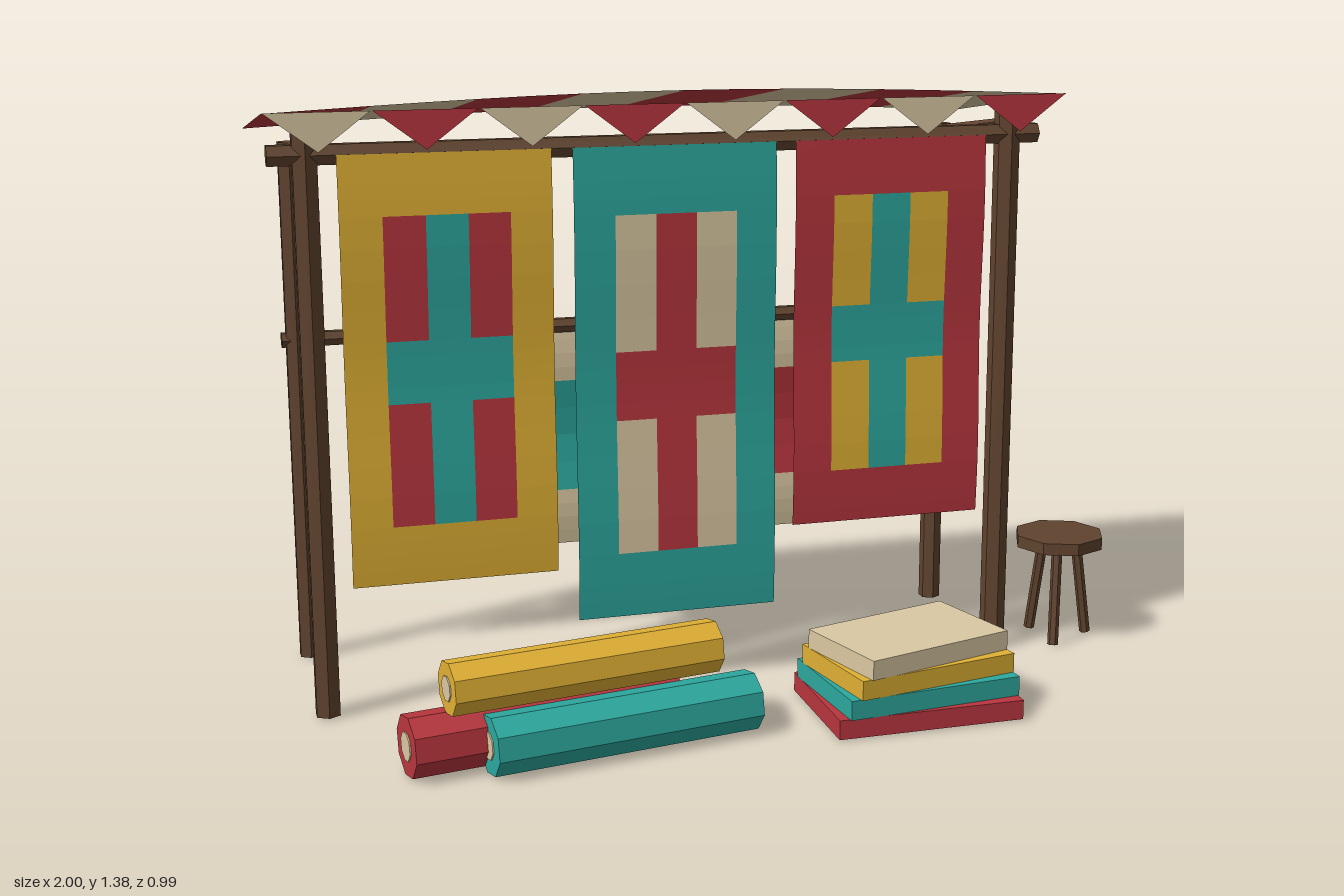
import * as THREE from 'three';
import { mergeGeometries } from 'three/addons/utils/BufferGeometryUtils.js';

const mat = (color, side = THREE.FrontSide) =>
  new THREE.MeshStandardMaterial({ color, side, flatShading: true });
const COLORS = { red: 0xb8363e, tan: 0xdac8a2, yellow: 0xe0b034, teal: 0x2ca89e, wood: 0x60432e };
const solid = {}, cloth = {};
for (const k in COLORS) {
  solid[k] = mat(COLORS[k]);
  cloth[k] = mat(COLORS[k], THREE.DoubleSide);
}

function add(parent, name, geometry, material) {
  const mesh = new THREE.Mesh(geometry, material);
  mesh.name = name;
  parent.add(mesh);
  return mesh;
}

function subgroup(parent, name) {
  const g = new THREE.Group();
  g.name = name;
  parent.add(g);
  return g;
}

// Faceted rod between two points
function rod(parent, name, a, b, radius, material = solid.wood, sides = 6, twist = 0) {
  const from = new THREE.Vector3(...a), to = new THREE.Vector3(...b);
  const dir = to.clone().sub(from);
  const geo = new THREE.CylinderGeometry(radius, radius, dir.length(), sides).rotateY(twist);
  const mesh = add(parent, name, geo, material);
  mesh.position.copy(from).add(to).multiplyScalar(0.5);
  mesh.quaternion.setFromUnitVectors(new THREE.Vector3(0, 1, 0), dir.normalize());
  return mesh;
}

// Hanging cloth cut into coloured cells along us / vs, with a gentle ripple down its length
function hanging(parent, name, { x0, x1, y0, y1, z, ripple, us, vs, colorAt }) {
  const g = subgroup(parent, name);
  const cells = {};
  const w = x1 - x0, h = y1 - y0;
  for (let i = 0; i < us.length - 1; i++) {
    for (let j = 0; j < vs.length - 1; j++) {
      const cw = (us[i + 1] - us[i]) * w, ch = (vs[j + 1] - vs[j]) * h;
      const geo = new THREE.PlaneGeometry(cw, ch, 1, 4);
      geo.translate(x0 + us[i] * w + cw / 2, y0 + vs[j] * h + ch / 2, 0);
      const p = geo.attributes.position;
      for (let k = 0; k < p.count; k++) {
        const t = (y1 - p.getY(k)) / h;
        p.setZ(k, z + ripple * Math.sin(t * Math.PI * 3));
      }
      geo.computeVertexNormals();
      (cells[colorAt(i, j)] ??= []).push(geo);
    }
  }
  for (const c in cells) add(g, `${name} ${c} cloth`, mergeGeometries(cells[c]), cloth[c]);
}

export function createModel() {
  const model = new THREE.Group();
  model.name = 'rugStall';

  // Timber frame
  const frame = subgroup(model, 'frame');
  const zF = 0.007, zB = -0.397;
  for (const x of [-0.906, 0.703]) {
    rod(frame, 'frontPost', [x, 0, zF], [x, 1.304, zF], 0.03);
    rod(frame, 'backPost', [x, 0, zB], [x, 1.24, zB], 0.027);
    rod(frame, 'sideBeam', [x, 1.271, zF], [x, 1.212, -0.429], 0.019);
  }
  rod(frame, 'frontBeam', [-0.985, 1.253, zF], [0.775, 1.253, zF], 0.025);
  rod(frame, 'backRail', [-0.94, 0.778, zB], [0.73, 0.778, zB], 0.019);

  // Striped awning: arched across x, sloping down to the back, with pennants along the front
  const awning = subgroup(model, 'awning');
  const n = 8, left = -1, stripe = 1.79 / n, zFront = 0.132, zRear = -0.488;
  for (let i = 0; i < n; i++) {
    const geo = new THREE.PlaneGeometry(stripe, zFront - zRear, 2, 1).rotateX(-Math.PI / 2);
    geo.translate(left + (i + 0.5) * stripe, 0, (zFront + zRear) / 2);
    const p = geo.attributes.position;
    for (let k = 0; k < p.count; k++) {
      const u = (p.getX(k) - left) / (stripe * n);
      const slope = (p.getZ(k) - zRear) / (zFront - zRear);
      p.setY(k, 1.264 + 0.088 * slope + 0.028 * Math.sin(Math.PI * u));
    }
    geo.computeVertexNormals();
    add(awning, 'awningStripe', geo, i % 2 ? cloth.tan : cloth.red);

    const tri = new THREE.Shape([
      new THREE.Vector2(-0.11, 0), new THREE.Vector2(0, -0.083), new THREE.Vector2(0.11, 0)]);
    const pennant = add(awning, 'pennant', new THREE.ShapeGeometry(tri), i % 2 ? cloth.red : cloth.tan);
    pennant.position.set(left + (i + 0.5) * stripe, 1.353, zFront + 0.002);
  }

  // Three display rugs on the front beam: border, inner field and cross
  const rugs = [
    ['leftRug', -0.842, -0.38, 0.297, 'yellow', 'red', 'teal'],
    ['middleRug', -0.333, 0.133, 0.174, 'teal', 'tan', 'red'],
    ['rightRug', 0.178, 0.639, 0.358, 'red', 'yellow', 'teal'],
  ];
  for (const [name, x0, x1, y0, border, field, cross] of rugs) {
    hanging(model, name, {
      x0, x1, y0, y1: 1.253, z: 0.033, ripple: 0.005,
      us: [0, 0.2, 0.4, 0.6, 0.8, 1], vs: [0, 0.14, 0.427, 0.573, 0.86, 1],
      colorAt: (i, j) => i % 4 === 0 || j % 4 === 0 ? border : i === 2 || j === 2 ? cross : field,
    });
  }

  // Wide blanket on the back rail
  hanging(model, 'backBlanket', {
    x0: -0.783, x1: 0.578, y0: 0.228, y1: 0.778, z: zB, ripple: 0.008,
    us: [0, 0.15, 0.29, 0.71, 0.85, 1], vs: [0, 0.25, 0.75, 1],
    colorAt: (i, j) => i % 4 === 0 || j !== 1 ? 'tan' : i === 2 ? 'teal' : 'red',
  });

  // Rolled rugs with pale cores
  const rolls = subgroup(model, 'rolledRugs');
  for (const [color, x, y, z, r] of [
    ['red', -0.483, 0.064, 0.348, 0.069],
    ['teal', -0.317, 0.062, 0.386, 0.067],
    ['yellow', -0.397, 0.186, 0.358, 0.06],
  ]) {
    const ends = (half) => [-1, 1].map(s =>
      [x + s * half * Math.cos(0.163), y, z - s * half * Math.sin(0.163)]);
    rod(rolls, `${color}Roll`, ...ends(0.305), r, solid[color], 8, Math.PI / 8);
    rod(rolls, `${color}RollCore`, ...ends(0.308), r * 0.47, solid.tan, 8, Math.PI / 8);
  }

  // Folded rugs, each smaller and turned further than the one below
  const stack = subgroup(model, 'foldedRugs');
  ['red', 'teal', 'yellow', 'tan'].forEach((color, i) => {
    const geo = new THREE.BoxGeometry(0.433 - 0.02 * i, 0.0445, 0.312 - 0.022 * i);
    const m = add(stack, `${color}FoldedRug`, geo, solid[color]);
    m.position.set(0.359, 0.0445 * (i + 0.5), 0.317);
    m.rotation.y = i * 0.092;
  });

  // Three-legged stool
  const stool = subgroup(model, 'stool');
  stool.position.set(0.89, 0, -0.024);
  add(stool, 'stoolSeat', new THREE.CylinderGeometry(0.11, 0.11, 0.029, 8), solid.wood).position.y = 0.249;
  for (let i = 0; i < 3; i++) {
    const a = i * Math.PI * 2 / 3, c = Math.cos(a), s = Math.sin(a);
    rod(stool, 'stoolLeg', [0.08 * c, 0, 0.08 * s], [0.046 * c, 0.24, 0.046 * s], 0.013);
  }
  return model;
}
